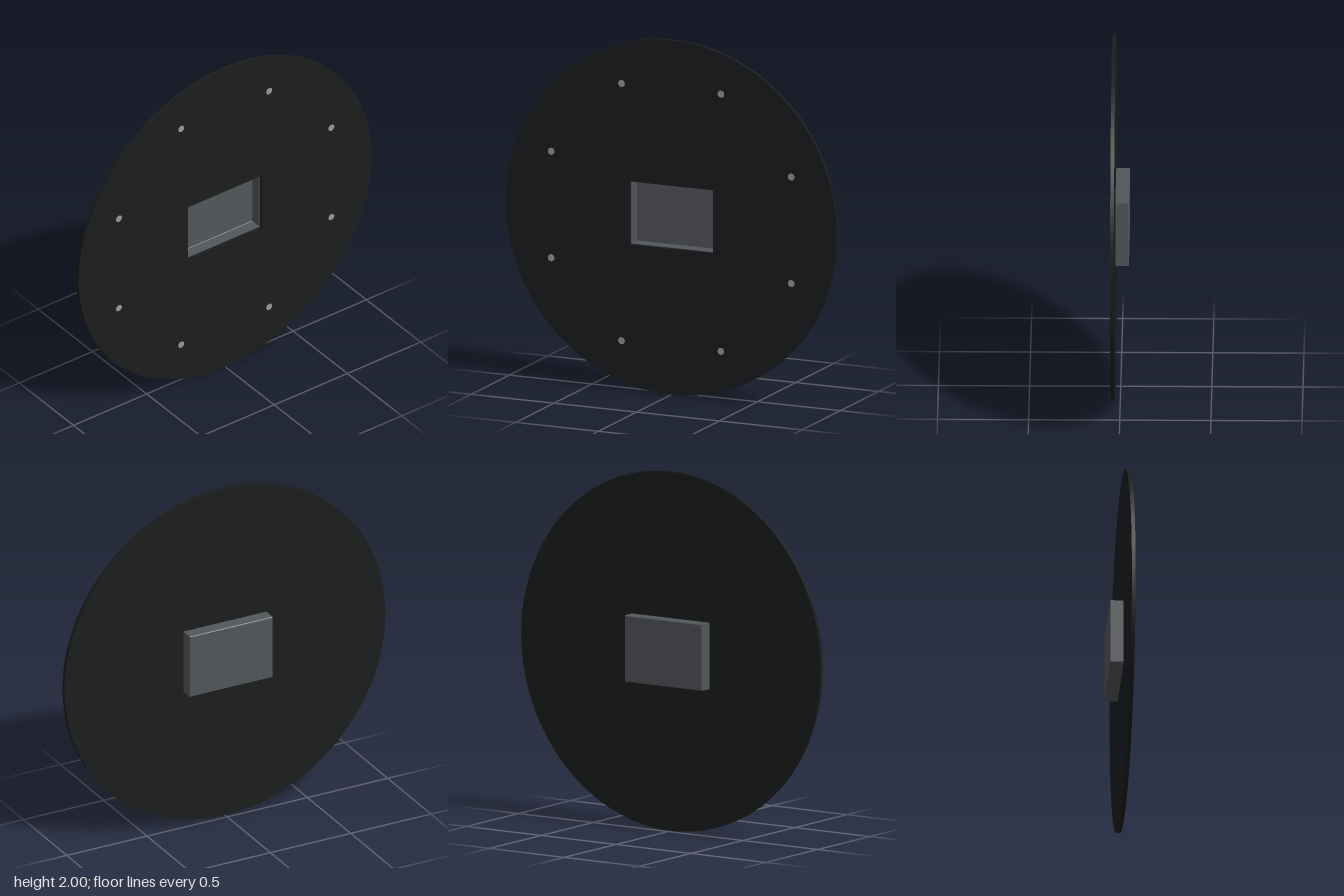
import * as THREE from 'three';

const FRONT = 0.048, PLATE_BACK = 0.027, CY = 1;

function rectPath(PathClass, w, h) {
  const p = new PathClass();
  p.moveTo(-w, -h);
  p.lineTo(w, -h);
  p.lineTo(w, h);
  p.lineTo(-w, h);
  p.closePath();
  return p;
}

// Skins a series of rectangles [halfWidth, halfHeight, z] with flat faces;
// a ring of zero size closes the end with a single point
function loftRects(rings) {
  const corner = ([w, h, z], i) => {
    const sx = [1, -1, -1, 1][i % 4], sy = [1, 1, -1, -1][i % 4];
    return [sx * w, sy * h, z];
  };
  const pos = [];
  for (let r = 0; r < rings.length - 1; r++) {
    for (let i = 0; i < 4; i++) {
      const a = corner(rings[r], i), b = corner(rings[r], i + 1);
      const c = corner(rings[r + 1], i + 1), d = corner(rings[r + 1], i);
      if (rings[r][0] > 0) pos.push(...a, ...b, ...c);
      if (rings[r + 1][0] > 0) pos.push(...a, ...c, ...d);
    }
  }
  const g = new THREE.BufferGeometry();
  g.setAttribute('position', new THREE.Float32BufferAttribute(pos, 3));
  g.computeVertexNormals();
  return g;
}

export function createModel() {
  const group = new THREE.Group();
  const add = (name, geometry, color, parent = group) => {
    const mesh = new THREE.Mesh(geometry, new THREE.MeshStandardMaterial({ color }));
    mesh.name = name;
    parent.add(mesh);
    return mesh;
  };

  // Round plate with a rectangular window
  const disc = new THREE.Shape();
  disc.absarc(0, 0, 1, 0, Math.PI * 2);
  disc.holes.push(rectPath(THREE.Path, 0.252, 0.178));
  const plate = add('plate', new THREE.ExtrudeGeometry(disc, {
    depth: FRONT - PLATE_BACK, bevelEnabled: false, curveSegments: 96,
  }), 0x1b1c1d);
  plate.position.set(0, CY, PLATE_BACK);

  // Shallow tray behind the window, from the back centre round to the inside
  const tray = add('tray', loftRects([
    [0, 0, -0.048],
    [0.255, 0.181, -0.048],
    [0.259, 0.185, -0.044],
    [0.259, 0.185, PLATE_BACK],
    [0.25, 0.176, PLATE_BACK],
    [0.25, 0.176, -0.036],
    [0.247, 0.173, -0.039],
    [0, 0, -0.039],
  ]), 0x53565a);
  tray.position.y = CY;

  // Ring of eight flush screw heads
  const screws = new THREE.Group();
  screws.name = 'screws';
  group.add(screws);
  const head = new THREE.CylinderGeometry(0.02, 0.02, 0.006, 24).rotateX(Math.PI / 2);
  for (let i = 0; i < 8; i++) {
    const a = (i + 0.5) * Math.PI / 4;
    const screw = add('screw', head, 0x999999, screws);
    screw.position.set(0.785 * Math.cos(a), CY + 0.785 * Math.sin(a), FRONT - 0.0024);
  }

  return group;
}
